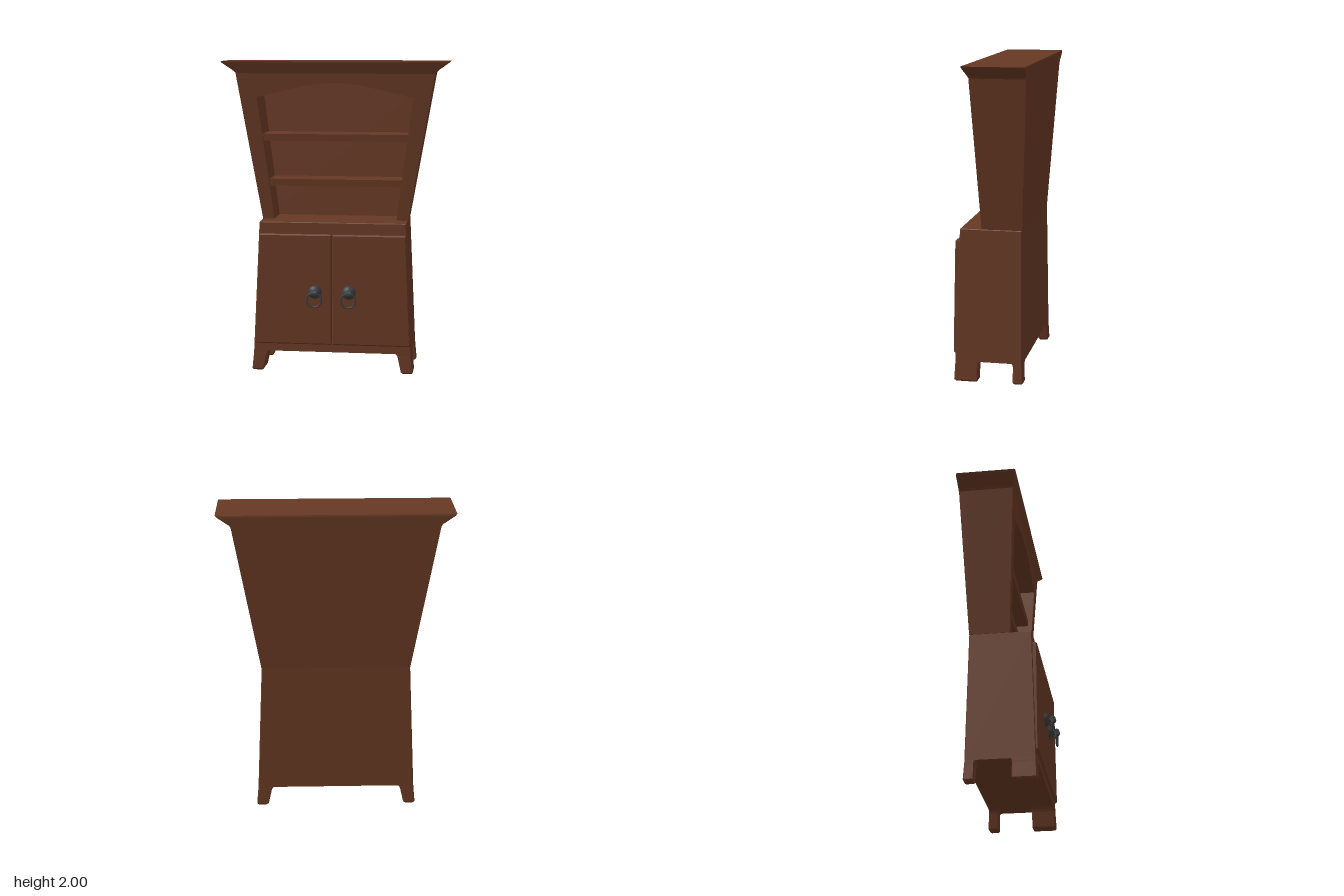
import * as THREE from 'three';
import { toCreasedNormals } from 'three/addons/utils/BufferGeometryUtils.js';

const wood = new THREE.MeshStandardMaterial({ color: 0x663823 });
wood.name = 'brown wood';
const iron = new THREE.MeshStandardMaterial({ color: 0x3a3d40 });
iron.name = 'dark iron';

const lerp = THREE.MathUtils.lerp;
const Y0 = 0.975, Y1 = 1.93; // worktop height, cornice height
const upperT = y => (y - Y0) / (Y1 - Y0);
const upperX = y => lerp(0.475, 0.642, upperT(y));
const upperFront = y => lerp(0.035, 0.077, upperT(y));
const upperBack = y => lerp(-0.22, -0.272, upperT(y));
const openingX = y => lerp(0.4, 0.505, (y - Y0) / (1.77 - Y0));

// Solid through rectangular sections [y, x0, x1, z0, z1] with corners cut by c
function loft(sections, c = 0) {
  const rings = sections.map(([y, x0, x1, z0, z1]) => {
    const p = c
      ? [[x0 + c, z1], [x1 - c, z1], [x1, z1 - c], [x1, z0 + c], [x1 - c, z0], [x0 + c, z0], [x0, z0 + c], [x0, z1 - c]]
      : [[x0, z1], [x1, z1], [x1, z0], [x0, z0]];
    return p.map(([x, z]) => [x, y, z]);
  });
  const pos = [];
  const tri = (...pts) => pts.forEach(p => pos.push(...p));
  const n = rings[0].length, last = rings[rings.length - 1];
  for (let r = 0; r < rings.length - 1; r++) {
    for (let i = 0; i < n; i++) {
      const j = (i + 1) % n, a = rings[r], b = rings[r + 1];
      tri(a[i], a[j], b[j]);
      tri(a[i], b[j], b[i]);
    }
  }
  for (let i = 1; i < n - 1; i++) {
    tri(last[0], last[i], last[i + 1]);
    tri(rings[0][0], rings[0][i + 1], rings[0][i]);
  }
  const g = new THREE.BufferGeometry();
  g.setAttribute('position', new THREE.Float32BufferAttribute(pos, 3));
  g.computeVertexNormals();
  return g;
}

function add(parent, name, geometry, material = wood) {
  const m = new THREE.Mesh(geometry, material);
  m.name = name;
  parent.add(m);
  return m;
}

// Sections given for the +x side, flipped for the other side
const sided = (s, sections) =>
  sections.map(([y, a, b, z0, z1]) => [y, Math.min(s * a, s * b), Math.max(s * a, s * b), z0, z1]);

// Hutch frame: sloping sides and arched opening, leaning front
function hutchFrame() {
  const s = new THREE.Shape();
  s.moveTo(-upperX(Y0), Y0);
  s.lineTo(-0.4, Y0);
  s.lineTo(-0.505, 1.77);
  s.lineTo(-0.2, 1.84);
  s.quadraticCurveTo(0, 1.88, 0.2, 1.84);
  s.lineTo(0.505, 1.77);
  s.lineTo(0.4, Y0);
  s.lineTo(upperX(Y0), Y0);
  s.lineTo(upperX(Y1), Y1);
  s.lineTo(-upperX(Y1), Y1);
  const g = new THREE.ExtrudeGeometry(s, { depth: 1, bevelEnabled: false, curveSegments: 10 });
  const p = g.attributes.position;
  for (let i = 0; i < p.count; i++) {
    const y = p.getY(i);
    p.setZ(i, lerp(upperBack(y) + 0.05, upperFront(y), p.getZ(i)));
  }
  return toCreasedNormals(g, 0.5);
}

// Domed rosette, eye and hanging ring
function ringPull() {
  const g = new THREE.Group();
  const dome = add(g, 'rosette', new THREE.SphereGeometry(0.045, 20, 8, 0, Math.PI * 2, 0, Math.PI / 2), iron);
  dome.rotation.x = Math.PI / 2;
  dome.scale.y = 0.75;
  const stem = add(g, 'stem', new THREE.CylinderGeometry(0.014, 0.02, 0.025, 12), iron);
  stem.rotation.x = Math.PI / 2;
  stem.position.z = 0.033;
  const eyeProfile = [[0.009, -0.02], [0.019, -0.02], [0.019, 0.02], [0.009, 0.02], [0.009, -0.02]];
  const eyeGeometry = new THREE.LatheGeometry(eyeProfile.map(p => new THREE.Vector2(...p)), 14);
  const eye = add(g, 'eye', toCreasedNormals(eyeGeometry, 0.7), iron);
  eye.rotation.z = Math.PI / 2;
  eye.position.z = 0.052;
  const ring = add(g, 'ring', new THREE.TorusGeometry(0.047, 0.006, 8, 28), iron);
  ring.position.set(0, -0.043, 0.052);
  return g;
}

export function createModel() {
  const model = new THREE.Group();
  model.name = 'hutchCabinet';

  // Lower cabinet
  add(model, 'lowerCabinet', loft([
    [0.13, -0.513, 0.513, -0.23, 0.2],
    [0.97, -0.475, 0.475, -0.22, 0.174],
    [Y0, -0.472, 0.472, -0.22, 0.17],
  ], 0.006));

  // Upper hutch
  add(model, 'hutchFrame', hutchFrame());
  add(model, 'hutchBack', loft([Y0, Y1].map(y =>
    [y, -upperX(y), upperX(y), upperBack(y), upperBack(y) + 0.05])));
  for (const y of [1.19, 1.485]) {
    add(model, 'shelf', loft([y, y + 0.045].map(h =>
      [h, -openingX(h) - 0.005, openingX(h) + 0.005, upperBack(h) + 0.04, upperFront(h) - 0.03])));
  }

  // Flared cornice, flush at the back
  add(model, 'cornice', loft([
    [1.922, -0.641, 0.641, -0.273, 0.077],
    [1.935, -0.65, 0.65, -0.274, 0.082],
    [1.99, -0.727, 0.727, -0.278, 0.103],
    [2.0, -0.735, 0.735, -0.276, 0.105],
  ], 0.006));

  for (const s of [-1, 1]) {
    // Doors with softened edges
    add(model, s > 0 ? 'leftDoor' : 'rightDoor', loft(sided(s, [
      [0.18, 0.004, 0.505, 0.17, 0.204],
      [0.188, 0.002, 0.506, 0.17, 0.212],
      [0.892, 0.002, 0.474, 0.16, 0.204],
      [0.9, 0.004, 0.472, 0.16, 0.197],
    ]), 0.006));

    const pull = ringPull();
    pull.name = 'ringPull';
    pull.position.set(s * 0.11, 0.527, 0.206);
    model.add(pull);

    // Splayed feet, filleted into the cabinet
    const foot = [[0, 0.457, 0.517], [0.01, 0.447, 0.524], [0.105, 0.426, 0.515], [0.12, 0.42, 0.514], [0.132, 0.406, 0.513]];
    const frontZ = [[0.06, 0.198], [0.054, 0.206], [0.054, 0.201], [0.052, 0.2], [0.042, 0.2]];
    const backZ = [[-0.229, -0.176], [-0.236, -0.17], [-0.231, -0.17], [-0.23, -0.168], [-0.23, -0.158]];
    for (const [name, zs] of [['frontFoot', frontZ], ['backFoot', backZ]]) {
      add(model, name, loft(sided(s, foot.map((f, i) => [...f, ...zs[i]])), 0.006));
    }
  }
  return model;
}
